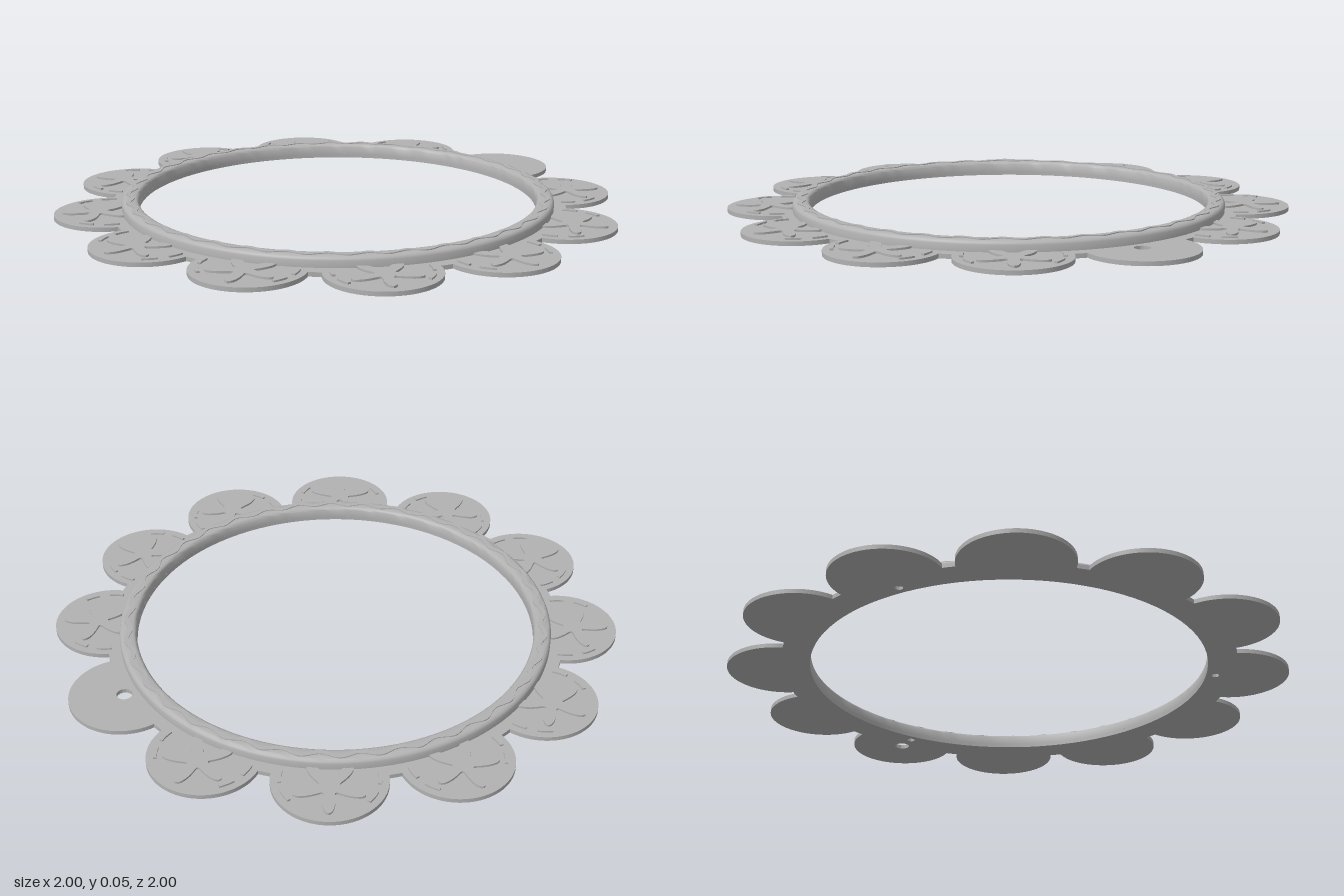
import * as THREE from 'three';
import { toCreasedNormals } from 'three/addons/utils/BufferGeometryUtils.js';

const PETALS = 12, PETAL_R = 0.19, PETAL_D = 0.81, BASE_R = 0.808, INNER_R = 0.705;
const PLATE_TOP = 0.015;
const TAU = Math.PI * 2;

function circleHole(x, y, r) {
  return new THREE.Path().absarc(x, y, r, 0, TAU, true);
}

// Extrude a plan shape upwards from height y
function slab(shape, y, height, segments = 24) {
  const g = new THREE.ExtrudeGeometry(shape, { depth: height, bevelEnabled: false, curveSegments: segments });
  g.rotateX(-Math.PI / 2);
  g.translate(0, y, 0);
  return toCreasedNormals(g, 0.6);
}

// Scalloped outline: one arc per petal joined by short arcs of the base circle
function plateShape() {
  const shape = new THREE.Shape();
  const phi = Math.acos((BASE_R ** 2 + PETAL_D ** 2 - PETAL_R ** 2) / (2 * BASE_R * PETAL_D));
  const sweep = Math.atan2(BASE_R * Math.sin(phi), BASE_R * Math.cos(phi) - PETAL_D);
  const step = TAU / PETALS;
  for (let i = 0; i < PETALS; i++) {
    const a = i * step;
    shape.absarc(PETAL_D * Math.cos(a), PETAL_D * Math.sin(a), PETAL_R, a - sweep, a + sweep, false);
    shape.absarc(0, 0, BASE_R, a + phi, a + step - phi, false);
  }
  shape.holes.push(circleHole(0, 0, INNER_R));
  shape.holes.push(circleHole(0, 0.812, 0.027));
  // three small pin holes under the ring
  for (let i = 0; i < 3; i++) {
    const a = Math.PI / 2 + i * TAU / 3;
    shape.holes.push(circleHole(0.738 * Math.cos(a), 0.738 * Math.sin(a), 0.014));
  }
  return shape;
}

// Five-armed star with rounded arms, one arm along +x
function starShape() {
  const pts = [];
  for (let i = 0; i < 100; i++) {
    const t = i / 100 * TAU;
    const r = 0.035 + 0.085 * Math.pow((1 + Math.cos(5 * t)) / 2, 1.5);
    pts.push(new THREE.Vector2(r * Math.cos(t), r * Math.sin(t)));
  }
  return new THREE.Shape(pts);
}

// Short curved dash following the petal rim
function dashShape(mid) {
  const s = new THREE.Shape();
  s.absarc(0, 0, 0.166, mid - 0.16, mid + 0.16, false);
  s.absarc(0, 0, 0.154, mid + 0.16, mid - 0.16, true);
  return s;
}

// Wavy band around the top of the ring
function waveShape() {
  const line = (offset) => Array.from({ length: 360 }, (_, i) => {
    const a = i / 360 * TAU;
    const r = 0.735 + offset + 0.009 * Math.sin(36 * a);
    return new THREE.Vector2(r * Math.cos(a), r * Math.sin(a));
  });
  const s = new THREE.Shape(line(0.008));
  s.holes.push(new THREE.Path(line(-0.008).reverse()));
  return s;
}

export function createModel() {
  const model = new THREE.Group();
  model.name = 'flowerFrame';
  const grey = new THREE.MeshStandardMaterial({ color: 0xb2b2b2 });
  grey.name = 'grey';
  const add = (parent, name, geometry) => {
    const m = new THREE.Mesh(geometry, grey);
    m.name = name;
    parent.add(m);
    return m;
  };

  add(model, 'petalPlate', slab(plateShape(), 0, PLATE_TOP, 48));

  // Raised ring with softened upper edges
  const profile = [
    [INNER_R, 0.012], [0.765, 0.012], [0.765, 0.038], [0.762, 0.045], [0.756, 0.05],
    [0.748, 0.052], [0.716, 0.052], [0.709, 0.049], [INNER_R, 0.043], [INNER_R, 0.012],
  ].map(([r, y]) => new THREE.Vector2(r, y));
  add(model, 'ring', toCreasedNormals(new THREE.LatheGeometry(profile, 144), 0.7));
  add(model, 'ringWave', slab(waveShape(), 0.05, 0.005));

  // Embossed star and rim dashes on every petal except the one with the hanging hole
  const star = slab(starShape(), PLATE_TOP - 0.002, 0.009);
  const dashes = [-1.6, -1.05, 1.05, 1.6].map((a) => slab(dashShape(a), PLATE_TOP - 0.002, 0.008, 8));
  for (let i = 0; i < PETALS; i++) {
    if (i === PETALS / 4) continue;
    const a = i * TAU / PETALS;
    const petal = new THREE.Group();
    petal.name = 'petalOrnament';
    petal.position.set(PETAL_D * Math.cos(a), 0, -PETAL_D * Math.sin(a));
    petal.rotation.y = a;
    add(petal, 'star', star).position.x = 0.04;
    dashes.forEach((d) => add(petal, 'rimDash', d));
    model.add(petal);
  }
  return model;
}
